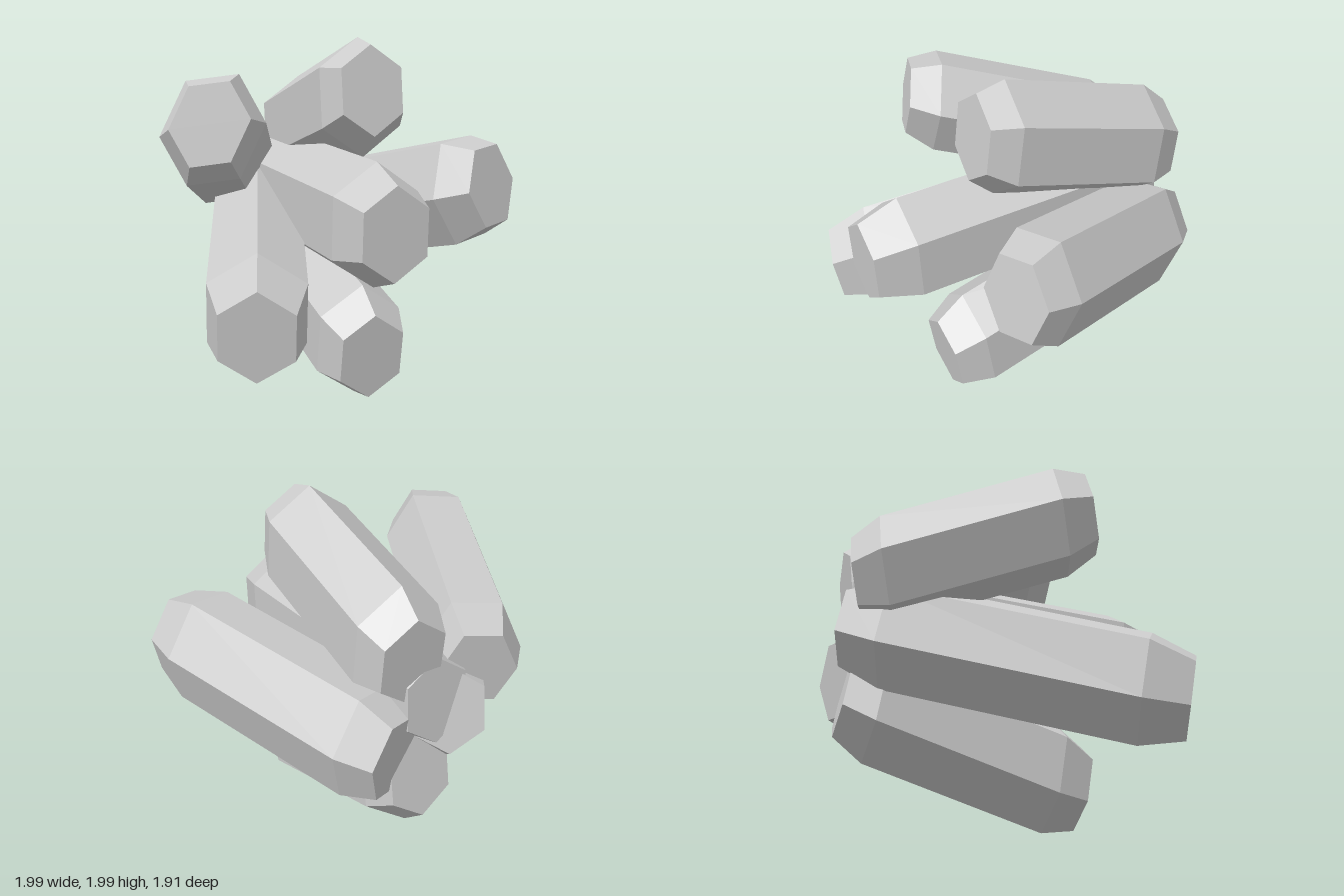
import * as THREE from 'three';

// Each crystal: centre of the front cap, centre of the back cap, and two
// neighbouring corner vectors of the hexagonal cap (the other four follow).
const CRYSTALS = [
  { name: 'topCrystal', front: [0.12, 1.71, 0.308], back: [0.12, 1.383, -0.89], p: [0.18, 0.124, -0.015], q: [0, 0.2475, -0.029] },
  { name: 'centreCrystal', front: [-0.04, 1.033, 0.908], back: [-0.04, 1.115, -0.89], p: [0.18, 0.124, 0.006], q: [0, 0.248, 0.012] },
  { name: 'bottomCrystal', front: [0.04, 0.275, 0.487], back: [0.04, 0.68, -0.88], p: [0.18, 0.121, 0.02], q: [0, 0.242, 0.04] },
  { name: 'leftCrystal', front: [0.807, 1.17, 0.44], back: [0.207, 0.852, -0.89], p: [0.193, 0.022, -0.076], q: [0.065, 0.228, -0.057] },
  { name: 'upperRightCrystal', front: [-0.79, 1.556, 0.28], back: [-0.305, 1.228, -0.89], p: [0.2, 0.026, 0.066], q: [0.11, 0.218, 0.006] },
  { name: 'lowerRightCrystal', front: [-0.74, 0.567, 0.82], back: [-0.12, 1.03, -0.89], p: [0.168, 0.12, 0.1], q: [-0.012, 0.242, 0.045] },
];

// Cross-sections from front to back: [fraction of the length, scale of the cap]
const RINGS = [[0, 1], [0.13, 1.333], [0.87, 1.333], [1, 1]];

function crystalGeometry({ front, back, p, q }) {
  const f = new THREE.Vector3(...front), b = new THREE.Vector3(...back);
  const u = new THREE.Vector3(...p), v = new THREE.Vector3(...q);
  const w = v.clone().sub(u);
  const corners = [u, v, w, u.clone().negate(), v.clone().negate(), w.clone().negate()];
  const positions = [], index = [];

  for (const [t, scale] of RINGS) {
    const centre = f.clone().lerp(b, t);
    for (const c of corners) positions.push(...centre.clone().addScaledVector(c, scale).toArray());
  }
  // Side and bevel faces
  for (let r = 0; r < RINGS.length - 1; r++) {
    for (let i = 0; i < 6; i++) {
      const a = r * 6 + i, n = r * 6 + (i + 1) % 6;
      index.push(a, a + 6, n, n, a + 6, n + 6);
    }
  }
  // End caps
  const last = (RINGS.length - 1) * 6;
  for (let i = 1; i < 5; i++) {
    index.push(0, i, i + 1);
    index.push(last, last + i + 1, last + i);
  }

  const indexed = new THREE.BufferGeometry();
  indexed.setAttribute('position', new THREE.Float32BufferAttribute(positions, 3));
  indexed.setIndex(index);
  const geometry = indexed.toNonIndexed();
  geometry.computeVertexNormals();
  return geometry;
}

export function createModel() {
  const group = new THREE.Group();
  group.name = 'crystalCluster';
  const material = new THREE.MeshStandardMaterial({ color: 0xcccccc, flatShading: true });
  for (const crystal of CRYSTALS) {
    const mesh = new THREE.Mesh(crystalGeometry(crystal), material);
    mesh.name = crystal.name;
    group.add(mesh);
  }
  return group;
}
